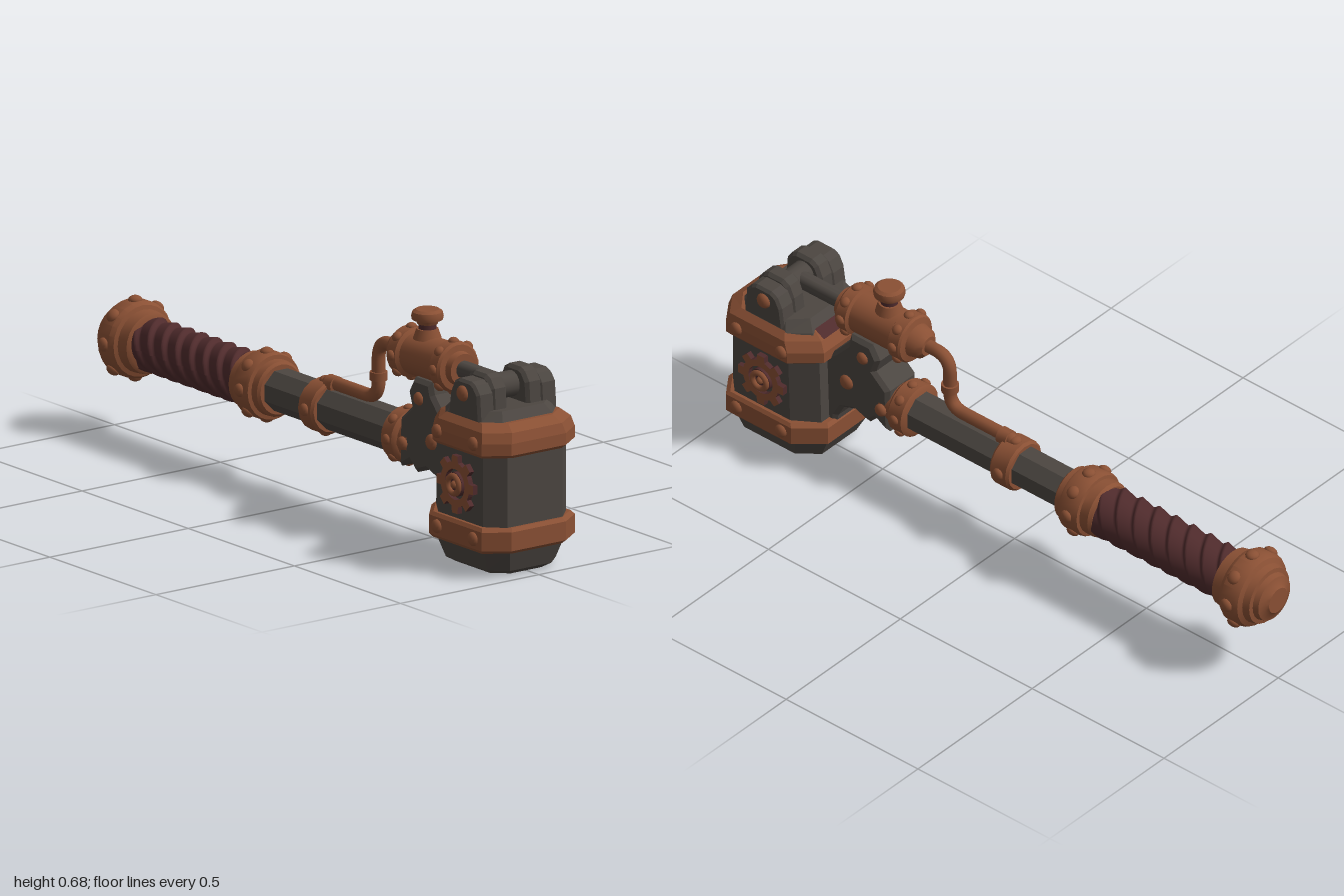
import * as THREE from 'three';
import { toCreasedNormals } from 'three/addons/utils/BufferGeometryUtils.js';

const mat = (name, color) => {
  const m = new THREE.MeshStandardMaterial({ color });
  m.name = name;
  return m;
};

export function createModel() {
  const copper = mat('copper', 0x8a5034);
  const iron = mat('iron', 0x4c4641);
  const leather = mat('leather', 0x4f2b2c);
  const root = new THREE.Group();
  root.name = 'steamHammer';
  const AXIS = 0.28; // height of the shaft axis
  const PISTON = 0.532; // height of the piston axis

  const add = (name, geo, material, x = 0, y = 0, z = 0) => {
    const mesh = new THREE.Mesh(geo, material);
    mesh.name = name;
    mesh.position.set(x, y, z);
    root.add(mesh);
    return mesh;
  };
  // Turned part along x; profile holds [x, radius] pairs
  const turned = (name, profile, material, y, segments = 24) => {
    const geo = new THREE.LatheGeometry(profile.map(([x, r]) => new THREE.Vector2(r, x)), segments);
    geo.rotateZ(-Math.PI / 2);
    return add(name, toCreasedNormals(geo, 0.6), material, 0, y, 0);
  };
  // Domed rivet flattened along its outward direction
  const studGeo = new THREE.SphereGeometry(1, 12, 8);
  const up = new THREE.Vector3(0, 1, 0);
  const stud = (x, y, z, dir, r = 0.02, h = 0.013) => {
    const s = add('rivet', studGeo, copper, x, y, z);
    s.scale.set(r, h, r);
    s.quaternion.setFromUnitVectors(up, dir);
  };
  const ringStuds = (x, y, radius, n, r, h) => {
    for (let i = 0; i < n; i++) {
      const a = (i / n) * Math.PI * 2;
      const d = new THREE.Vector3(0, Math.cos(a), Math.sin(a));
      stud(x, y + d.y * radius, d.z * radius, d, r, h);
    }
  };
  const sideStud = (x, y, z, r, h) => {
    for (const s of [1, -1]) stud(x, y, z * s, new THREE.Vector3(0, 0, s), r, h);
  };
  // Stacked octagons; each level is [y, xMin, xMax, halfDepth, leftCut, rightCut, cutDepth]
  const loft = (name, levels, material) => {
    const rings = levels.map(([y, a, b, d, l, r, c]) => [
      [b, d - c], [b, c - d], [b - r, -d], [a + l, -d], [a, c - d], [a, d - c], [a + l, d], [b - r, d],
    ].map(([x, z]) => [x, y, z]));
    const pos = [];
    const tri = (...p) => p.forEach((v) => pos.push(...v));
    for (let k = 0; k < rings.length - 1; k++) {
      for (let i = 0; i < 8; i++) {
        const j = (i + 1) % 8, A = rings[k], B = rings[k + 1];
        tri(A[i], A[j], B[j]);
        tri(A[i], B[j], B[i]);
      }
    }
    const bottom = rings[0], top = rings[rings.length - 1];
    for (let i = 1; i < 7; i++) {
      tri(top[0], top[i], top[i + 1]);
      tri(bottom[0], bottom[i + 1], bottom[i]);
    }
    const geo = new THREE.BufferGeometry();
    geo.setAttribute('position', new THREE.Float32BufferAttribute(pos, 3));
    geo.computeVertexNormals();
    return add(name, geo, material);
  };
  // Bevelled plate centred on z
  const plate = (name, shape, width, bevel, material, x, y, z) => {
    const geo = new THREE.ExtrudeGeometry(shape, {
      depth: width - 2 * bevel, bevelEnabled: bevel > 0, bevelSize: bevel,
      bevelThickness: bevel, bevelOffset: -bevel, bevelSegments: 1, curveSegments: 10,
    });
    geo.translate(0, 0, bevel - width / 2);
    return add(name, geo, material, x, y, z);
  };
  const polygon = (pts) => new THREE.Shape(pts.map(([x, y]) => new THREE.Vector2(x, y)));

  // Pommel
  turned('pommel', [[-1, 0], [-1, 0.04], [-0.992, 0.048], [-0.985, 0.07], [-0.968, 0.075], [-0.966, 0.088],
    [-0.945, 0.094], [-0.938, 0.108], [-0.925, 0.115], [-0.88, 0.115], [-0.866, 0.106], [-0.862, 0.094],
    [-0.826, 0.09], [-0.82, 0.08], [-0.82, 0]], copper, AXIS);
  ringStuds(-0.902, AXIS, 0.114, 8, 0.021, 0.014);

  // Leather grip with a spiral wrap
  const grip = new THREE.CylinderGeometry(0.075, 0.075, 0.5, 48, 110, true);
  grip.rotateZ(-Math.PI / 2);
  const p = grip.attributes.position;
  for (let i = 0; i < p.count; i++) {
    const x = p.getX(i), a = Math.atan2(p.getZ(i), p.getY(i));
    const phase = x / 0.065 - (a / (2 * Math.PI)) * 4;
    const f = phase - Math.floor(phase);
    const r = 0.07 + 0.012 * (f < 0.8 ? f / 0.8 : (1 - f) / 0.2);
    p.setXYZ(i, x, r * Math.cos(a), r * Math.sin(a));
  }
  grip.computeVertexNormals();
  add('grip', grip, leather, -0.585, AXIS, 0);

  // Grip collar, octagonal shaft, shaft ring and head collar
  turned('gripCollar', [[-0.36, 0], [-0.36, 0.078], [-0.35, 0.086], [-0.32, 0.086], [-0.318, 0.096], [-0.31, 0.1],
    [-0.255, 0.1], [-0.247, 0.096], [-0.245, 0.084], [-0.222, 0.082], [-0.215, 0.074], [-0.215, 0]], copper, AXIS);
  ringStuds(-0.282, AXIS, 0.098, 8, 0.02, 0.014);
  const shaft = new THREE.CylinderGeometry(0.064, 0.064, 0.7, 8).toNonIndexed();
  shaft.rotateY(Math.PI / 8).rotateZ(-Math.PI / 2);
  shaft.computeVertexNormals();
  add('shaft', shaft, iron, 0.1, AXIS, 0);
  turned('shaftRing', [[-0.04, 0.05], [-0.04, 0.072], [-0.032, 0.079], [0.024, 0.079], [0.032, 0.072], [0.032, 0.05]],
    copper, AXIS, 16);
  ringStuds(-0.004, AXIS, 0.077, 4, 0.019, 0.013);
  turned('headCollar', [[0.355, 0], [0.355, 0.07], [0.362, 0.082], [0.41, 0.082], [0.417, 0.076], [0.42, 0.068],
    [0.46, 0.068], [0.468, 0.06], [0.468, 0]], copper, AXIS);
  ringStuds(0.387, AXIS, 0.081, 8, 0.016, 0.011);
  sideStud(0.447, AXIS, 0.07, 0.02, 0.014);

  // Steam pipe with couplings
  const v = (x, y) => new THREE.Vector3(x, y, 0);
  const path = new THREE.CurvePath();
  path.add(new THREE.LineCurve3(v(0, 0.33), v(0, 0.34)));
  path.add(new THREE.QuadraticBezierCurve3(v(0, 0.34), v(0, 0.356), v(0.03, 0.356)));
  path.add(new THREE.LineCurve3(v(0.03, 0.356), v(0.19, 0.356)));
  path.add(new THREE.QuadraticBezierCurve3(v(0.19, 0.356), v(0.245, 0.356), v(0.245, 0.41)));
  path.add(new THREE.LineCurve3(v(0.245, 0.41), v(0.245, 0.475)));
  path.add(new THREE.QuadraticBezierCurve3(v(0.245, 0.475), v(0.245, PISTON), v(0.3, PISTON)));
  path.add(new THREE.LineCurve3(v(0.3, PISTON), v(0.36, PISTON)));
  add('steamPipe', new THREE.TubeGeometry(path, 60, 0.02, 12), copper);
  add('pipeCoupling', new THREE.CylinderGeometry(0.026, 0.026, 0.025, 14), copper, 0.245, 0.425, 0);
  turned('pipeElbowSleeve', [[0.01, 0], [0.015, 0.026], [0.05, 0.026], [0.055, 0]], copper, 0.352, 14);

  // Steam cylinder, piston rod and valve
  turned('steamCylinder', [[0.325, 0], [0.325, 0.03], [0.34, 0.045], [0.37, 0.052], [0.374, 0.07], [0.38, 0.075],
    [0.418, 0.075], [0.425, 0.064], [0.575, 0.064], [0.58, 0.075], [0.615, 0.075], [0.622, 0.068],
    [0.624, 0.05], [0.645, 0.046], [0.645, 0]], copper, PISTON);
  for (const x of [0.4, 0.598]) ringStuds(x, PISTON, 0.074, 8, 0.016, 0.012);
  turned('pistonRod', [[0.63, 0], [0.63, 0.026], [0.84, 0.026], [0.84, 0]], iron, PISTON, 16);
  add('valveBase', new THREE.CylinderGeometry(0.032, 0.042, 0.03, 16), copper, 0.475, 0.602, 0);
  add('valveStem', new THREE.CylinderGeometry(0.026, 0.026, 0.04, 16), leather, 0.475, 0.628, 0);
  const knob = [[0, 0.632], [0.03, 0.632], [0.034, 0.642], [0.045, 0.645], [0.047, 0.655], [0.044, 0.668],
    [0.034, 0.675], [0, 0.675]].map(([r, y]) => new THREE.Vector2(r, y));
  add('valveKnob', toCreasedNormals(new THREE.LatheGeometry(knob, 20), 0.6), copper, 0.475, 0, 0);

  // Bracket joining shaft, cylinder and head
  plate('bracket', polygon([[0.425, 0.205], [0.473, 0.23], [0.5, 0.203], [0.553, 0.222], [0.6, 0.205], [0.622, 0.165],
    [0.634, 0.1], [0.7, 0.1], [0.7, 0.36], [0.66, 0.37], [0.625, 0.4], [0.58, 0.45], [0.57, 0.485], [0.49, 0.485],
    [0.463, 0.44], [0.478, 0.396], [0.425, 0.35]]), 0.13, 0.012, iron, 0, 0, 0);
  sideStud(0.58, 0.312, 0.065, 0.024, 0.015);
  sideStud(0.52, 0.428, 0.065, 0.02, 0.014);

  // Hammer head block with tapered foot and crown
  loft('headBlock', [
    [0, 0.69, 0.94, 0.1, 0.05, 0.04, 0.045], [0.015, 0.665, 0.962, 0.125, 0.06, 0.045, 0.05],
    [0.075, 0.635, 0.982, 0.145, 0.075, 0.05, 0.055], [0.11, 0.645, 0.982, 0.15, 0.075, 0.05, 0.05],
    [0.4, 0.655, 0.982, 0.15, 0.075, 0.05, 0.05], [0.45, 0.685, 0.95, 0.143, 0.06, 0.05, 0.05],
    [0.482, 0.71, 0.925, 0.125, 0.05, 0.04, 0.05]], iron);
  loft('lowerBand', [
    [0.076, 0.632, 0.99, 0.16, 0.08, 0.05, 0.07], [0.086, 0.622, 1, 0.168, 0.08, 0.05, 0.07],
    [0.142, 0.622, 1, 0.168, 0.08, 0.05, 0.07], [0.152, 0.632, 0.99, 0.16, 0.08, 0.05, 0.07]], copper);
  loft('upperBand', [
    [0.36, 0.648, 0.99, 0.16, 0.08, 0.05, 0.07], [0.37, 0.638, 1, 0.168, 0.08, 0.05, 0.07],
    [0.405, 0.638, 1, 0.168, 0.08, 0.05, 0.07], [0.435, 0.655, 0.992, 0.16, 0.08, 0.05, 0.07],
    [0.455, 0.69, 0.96, 0.14, 0.06, 0.045, 0.06]], copper);
  // Dark inlay on the sloping rear of the upper band
  const inlay = new THREE.PlaneGeometry(0.04, 0.16).rotateX(-Math.PI / 2).rotateZ(Math.atan2(0.02, 0.035));
  add('bandInlay', inlay, leather, 0.671, 0.4475, 0);
  for (const x of [0.74, 0.91]) {
    sideStud(x, 0.398, 0.168, 0.021, 0.014);
    sideStud(x, 0.115, 0.168, 0.021, 0.014);
  }

  // Side gears with hubs
  const gear = new THREE.Shape();
  const teeth = 8;
  for (let i = 0; i < teeth; i++) {
    [[-0.5, 0.067], [-0.28, 0.067], [-0.2, 0.087], [0.2, 0.087], [0.28, 0.067]].forEach(([o, r], k) => {
      const a = ((i + o) / teeth) * Math.PI * 2;
      gear[i + k ? 'lineTo' : 'moveTo'](r * Math.cos(a), r * Math.sin(a));
    });
  }
  gear.closePath();
  gear.holes.push(new THREE.Path().absarc(0, 0, 0.046, 0, Math.PI * 2, true));
  for (const s of [1, -1]) {
    plate('sideGear', gear, 0.02, 0, [copper, leather], 0.82, 0.257, s * 0.156);
    const disc = new THREE.CylinderGeometry(0.036, 0.036, 0.03, 20).rotateX(Math.PI / 2);
    add('gearSeat', disc, leather, 0.82, 0.257, s * 0.152);
    add('gearHub', new THREE.TorusGeometry(0.026, 0.009, 8, 20), copper, 0.82, 0.257, s * 0.17);
  }
  sideStud(0.82, 0.257, 0.167, 0.012, 0.012);

  // Clevis on the crown: inner and outer lugs each side, rod eye between
  const lug = (h) => polygon([[-0.075, 0], [0.075, 0], [0.068, h * 0.72], [0.048, h * 0.93], [0.03, h],
    [-0.025, h], [-0.048, h * 0.9], [-0.065, h * 0.62]]);
  for (const s of [1, -1]) {
    plate('innerLug', lug(0.13), 0.057, 0.01, iron, 0.83, 0.45, s * 0.0625);
    plate('outerLug', lug(0.116), 0.06, 0.008, iron, 0.83, 0.45, s * 0.112);
  }
  sideStud(0.828, 0.526, 0.142, 0.024, 0.016);
  const eye = new THREE.CylinderGeometry(0.038, 0.038, 0.08, 18).rotateX(Math.PI / 2);
  add('rodEye', eye, iron, 0.828, 0.527, 0);

  return root;
}
